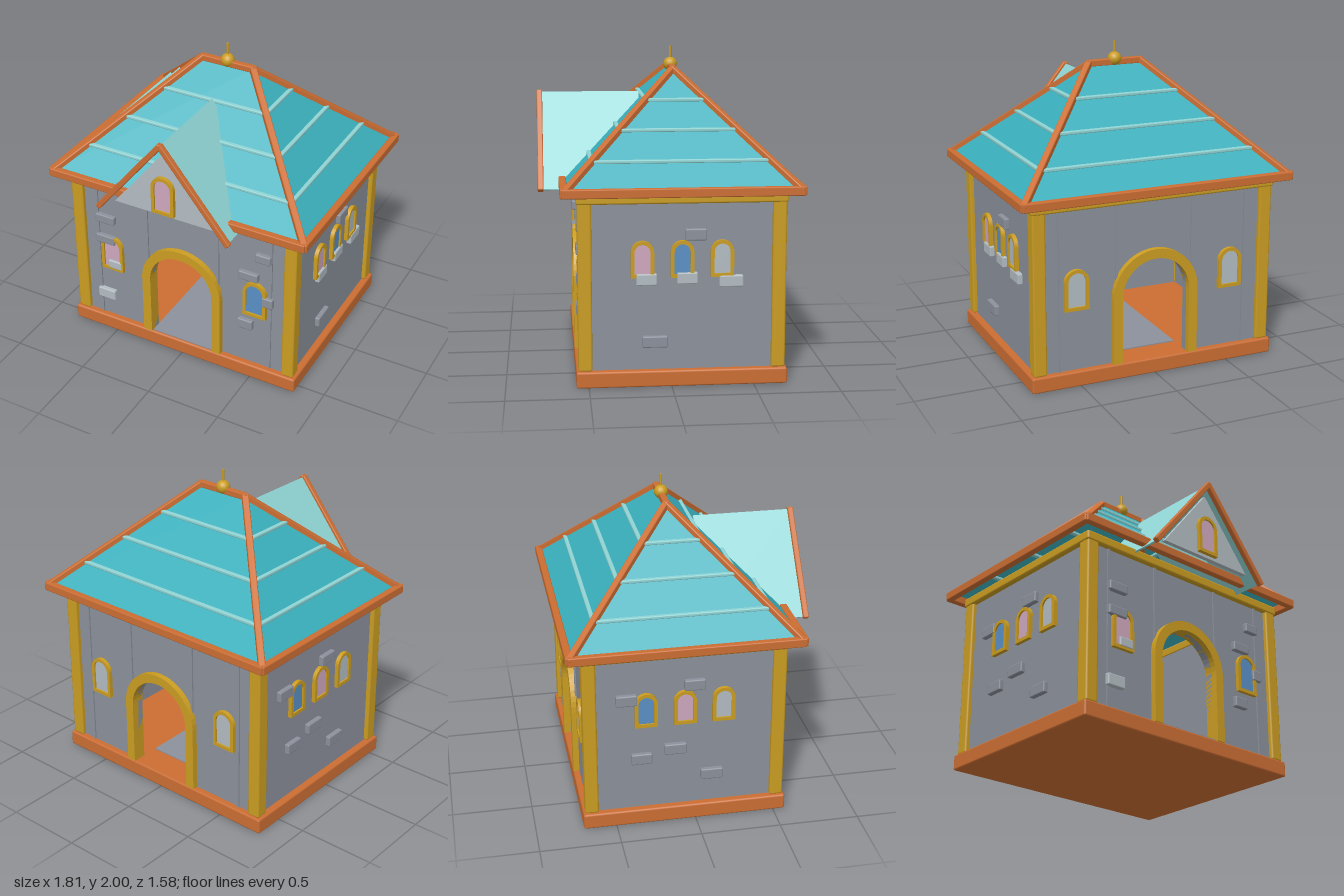
import * as THREE from 'three';
import { RoundedBoxGeometry } from 'three/addons/geometries/RoundedBoxGeometry.js';

const paint = (name, color, side = THREE.FrontSide) => {
  const m = new THREE.MeshStandardMaterial({ color, side });
  m.name = name;
  return m;
};

export function createModel() {
  const stone = paint('stone grey', 0x8c919c);
  const pale = paint('pale stone', 0xb3bdc3);
  const wood = paint('orange wood', 0xcc6e33);
  const gold = paint('gold trim', 0xcb9d22);
  const teal = paint('teal roof', 0x3aafbc, THREE.DoubleSide);
  const paleTeal = paint('pale teal', 0x90d4d4);
  const pink = paint('pink glass', 0xcfa8bf);
  const blue = paint('blue glass', 0x5a90c6);

  const ZC = -0.065; // centre of the house in depth
  const model = new THREE.Group();
  model.name = 'house';

  const add = (parent, name, geo, mat, x = 0, y = 0, z = 0) => {
    const mesh = new THREE.Mesh(geo, mat);
    mesh.name = name;
    mesh.position.set(x, y, z);
    parent.add(mesh);
    return mesh;
  };
  const block = (w, h, d, r = 0.008) => new RoundedBoxGeometry(w, h, d, 1, r);
  const extrude = (shape, depth) =>
    new THREE.ExtrudeGeometry(shape, { depth, bevelEnabled: false, curveSegments: 12 });

  // round-headed outline standing on y = bottom
  const archPath = (Type, half, bottom, spring) => {
    const p = new Type();
    p.moveTo(-half, bottom);
    p.lineTo(half, bottom);
    p.lineTo(half, spring);
    p.absarc(0, spring, half, 0, Math.PI, false);
    p.lineTo(-half, bottom);
    return p;
  };

  // bar of square section between two points
  const bar = (name, a, b, size, mat, height = size) => {
    const from = new THREE.Vector3(...a), to = new THREE.Vector3(...b);
    const mesh = add(model, name, block(size, height, from.distanceTo(to) + size * 0.5, 0.007), mat);
    mesh.position.copy(from).lerp(to, 0.5);
    mesh.lookAt(to);
    return mesh;
  };

  // framed window; bottom centre at x, y on the local wall plane
  const addWindow = (parent, x, y, w, h, glass) => {
    const g = new THREE.Group();
    g.name = 'window';
    g.position.set(x, y, 0);
    parent.add(g);
    const half = w / 2, inner = half - 0.022;
    const frame = archPath(THREE.Shape, half, 0, h - half);
    frame.holes.push(archPath(THREE.Path, inner, 0.022, h - half));
    add(g, 'windowFrame', extrude(frame, 0.025), gold);
    add(g, 'windowPane', extrude(archPath(THREE.Shape, inner, 0.022, h - half), 0.008), glass, 0, 0, 0.006);
  };
  const addBrick = (parent, x, y, w, h, mat) =>
    add(parent, 'brick', block(w, h, 0.04), mat, x, y, 0.01);

  // base slab, and a path through the doorways
  add(model, 'base', block(1.64, 0.1, 1.28, 0.012), wood, 0, 0.05, ZC);
  add(model, 'path', new THREE.BoxGeometry(0.44, 0.008, 1.07), stone, 0, 0.103, 0.025);

  // local wall frames, each facing outward along its own z
  const side = (name, x, z, turn) => {
    const g = new THREE.Group();
    g.name = name;
    g.position.set(x, 0, z);
    g.rotation.y = turn;
    model.add(g);
    return g;
  };
  const front = side('frontWall', 0, 0.535, 0);
  const back = side('backWall', 0, -0.665, Math.PI);
  const right = side('rightWall', 0.775, ZC, Math.PI / 2);
  const left = side('leftWall', -0.775, ZC, -Math.PI / 2);

  // front and back walls with arched doorways
  for (const wall of [front, back]) {
    const s = new THREE.Shape();
    s.moveTo(-0.225, 0.1);
    s.lineTo(-0.76, 0.1);
    s.lineTo(-0.76, 1.18);
    s.lineTo(0.76, 1.18);
    s.lineTo(0.76, 0.1);
    s.lineTo(0.225, 0.1);
    s.lineTo(0.225, 0.53);
    s.absarc(0, 0.53, 0.225, 0, Math.PI, false);
    s.lineTo(-0.225, 0.1);
    add(wall, 'wallPanel', extrude(s, 0.05), stone, 0, 0, -0.05);

    const trim = archPath(THREE.Shape, 0.285, 0.1, 0.53);
    trim.holes.push(archPath(THREE.Path, 0.225, 0.0999, 0.53));
    const t = new THREE.Shape();
    t.moveTo(0.225, 0.1);
    t.lineTo(0.285, 0.1);
    t.lineTo(0.285, 0.53);
    t.absarc(0, 0.53, 0.285, 0, Math.PI, false);
    t.lineTo(-0.285, 0.1);
    t.lineTo(-0.225, 0.1);
    t.lineTo(-0.225, 0.53);
    t.absarc(0, 0.53, 0.225, Math.PI, 0, true);
    add(wall, 'doorArch', extrude(t, 0.09), gold, 0, 0, -0.052);

    for (const sx of [-1, 1]) {
      add(wall, 'outerRib', new THREE.BoxGeometry(0.016, 1.02, 0.02), stone, sx * 0.625, 0.61, 0);
      add(wall, 'innerRib', new THREE.BoxGeometry(0.016, 0.5, 0.02), stone, sx * 0.255, 0.87, 0);
    }
  }
  for (const wall of [right, left])
    add(wall, 'wallPanel', new THREE.BoxGeometry(1.18, 1.08, 0.05), stone, 0, 0.64, -0.025);

  // windows
  addWindow(front, -0.52, 0.49, 0.16, 0.26, pink);
  addWindow(front, 0.52, 0.49, 0.16, 0.26, blue);
  for (const x of [-0.52, 0.52]) addWindow(back, x, 0.49, 0.16, 0.26, pale);
  [pink, blue, pale].forEach((m, i) => addWindow(right, (i - 1) * 0.24, 0.67, 0.14, 0.225, m));
  [blue, pink, pale].forEach((m, i) => addWindow(left, (i - 1) * 0.24, 0.67, 0.14, 0.225, m));

  // scattered bricks: x, y, width, height, colour
  const bricks = [
    [front, [[-0.56, 0.88, 0.14, 0.06, stone], [-0.565, 0.72, 0.14, 0.06, stone],
      [-0.5, 0.535, 0.1, 0.06, pale], [-0.575, 0.275, 0.13, 0.075, pale],
      [0.575, 0.952, 0.105, 0.06, stone], [0.475, 0.79, 0.135, 0.06, stone],
      [0.61, 0.63, 0.075, 0.07, stone], [0.457, 0.41, 0.105, 0.07, stone]]],
    [right, [[0.08, 0.93, 0.13, 0.07, stone], [-0.215, 0.66, 0.125, 0.07, pale],
      [0.03, 0.665, 0.125, 0.07, pale], [0.295, 0.643, 0.145, 0.07, pale],
      [-0.165, 0.275, 0.155, 0.07, stone]]],
    [left, [[-0.36, 0.86, 0.13, 0.07, stone], [0.06, 0.93, 0.13, 0.07, stone],
      [-0.06, 0.5, 0.14, 0.07, stone], [-0.27, 0.45, 0.13, 0.07, stone],
      [0.17, 0.3, 0.14, 0.07, stone]]],
  ];
  for (const [wall, list] of bricks) for (const b of list) addBrick(wall, ...b);

  // corner posts and the beam ring under the eaves
  for (const sx of [-1, 1]) {
    for (const sz of [-1, 1])
      add(model, 'cornerPost', block(0.085, 1.04, 0.085, 0.012), gold, sx * 0.76, 0.62, ZC + sz * 0.585);
    add(model, 'sideBeam', block(0.09, 0.06, 1.27, 0.012), gold, sx * 0.765, 1.15, ZC);
    add(model, 'endBeam', block(1.62, 0.06, 0.09, 0.012), gold, 0, 1.15, ZC + sx * 0.59);
  }

  // hip roof: rectangular section at height fraction t
  const EAVE = 1.2, RISE = 0.665;
  const ring = (t) => {
    const x = 0.88 - 0.705 * t, d = 0.705 * (1 - t), y = EAVE + RISE * t;
    return [[x, y, ZC + d], [x, y, ZC - d], [-x, y, ZC - d], [-x, y, ZC + d]];
  };
  const low = ring(0), high = ring(1);
  const corners = [];
  for (let i = 0; i < 4; i++) {
    const j = (i + 1) % 4;
    corners.push(...low[i], ...low[j], ...high[j], ...low[i], ...high[j], ...high[i]);
    bar('eaveTrim', low[i], low[j], 0.045, wood, 0.055);
    bar('hipTrim', low[i], high[i], 0.042, wood);
    // raised courses across each slope
    for (const y of [1.36, 1.525, 1.69]) {
      const r = ring((y - EAVE) / RISE);
      bar('roofCourse', r[i], r[j], 0.03, paleTeal, 0.022);
    }
  }
  const roofGeo = new THREE.BufferGeometry();
  roofGeo.setAttribute('position', new THREE.Float32BufferAttribute(corners, 3));
  roofGeo.computeVertexNormals();
  add(model, 'roof', roofGeo, teal);
  bar('ridgeTrim', high[0], high[3], 0.042, wood);

  // finial
  add(model, 'finialBall', new THREE.SphereGeometry(0.044, 16, 12), gold, 0, 1.885, ZC);
  add(model, 'finialRod', new THREE.CylinderGeometry(0.008, 0.008, 0.12, 8), gold, 0, 1.94, ZC);

  // dormer roof: a thin folded sheet running back into the main slope
  const sheet = new THREE.Shape([[0, 1.712], [-0.445, 1.155], [-0.437, 1.149], [0, 1.696],
    [0.437, 1.149], [0.445, 1.155]].map((p) => new THREE.Vector2(...p)));
  add(model, 'dormerRoof', extrude(sheet, 0.63), paleTeal, 0, 0, 0.14);
  for (const sx of [-1, 1])
    bar('dormerTrim', [0, 1.71, 0.772], [sx * 0.448, 1.155, 0.772], 0.036, wood);

  // dormer gable wall with its window
  const gable = new THREE.Shape([[-0.35, 1.2], [0.35, 1.2], [0, 1.64]].map((p) => new THREE.Vector2(...p)));
  add(model, 'dormerGable', extrude(gable, 0.03), pale, 0, 0, 0.71);
  addWindow(side('dormerFace', 0, 0.74, 0), 0, 1.22, 0.155, 0.26, pink);

  return model;
}
